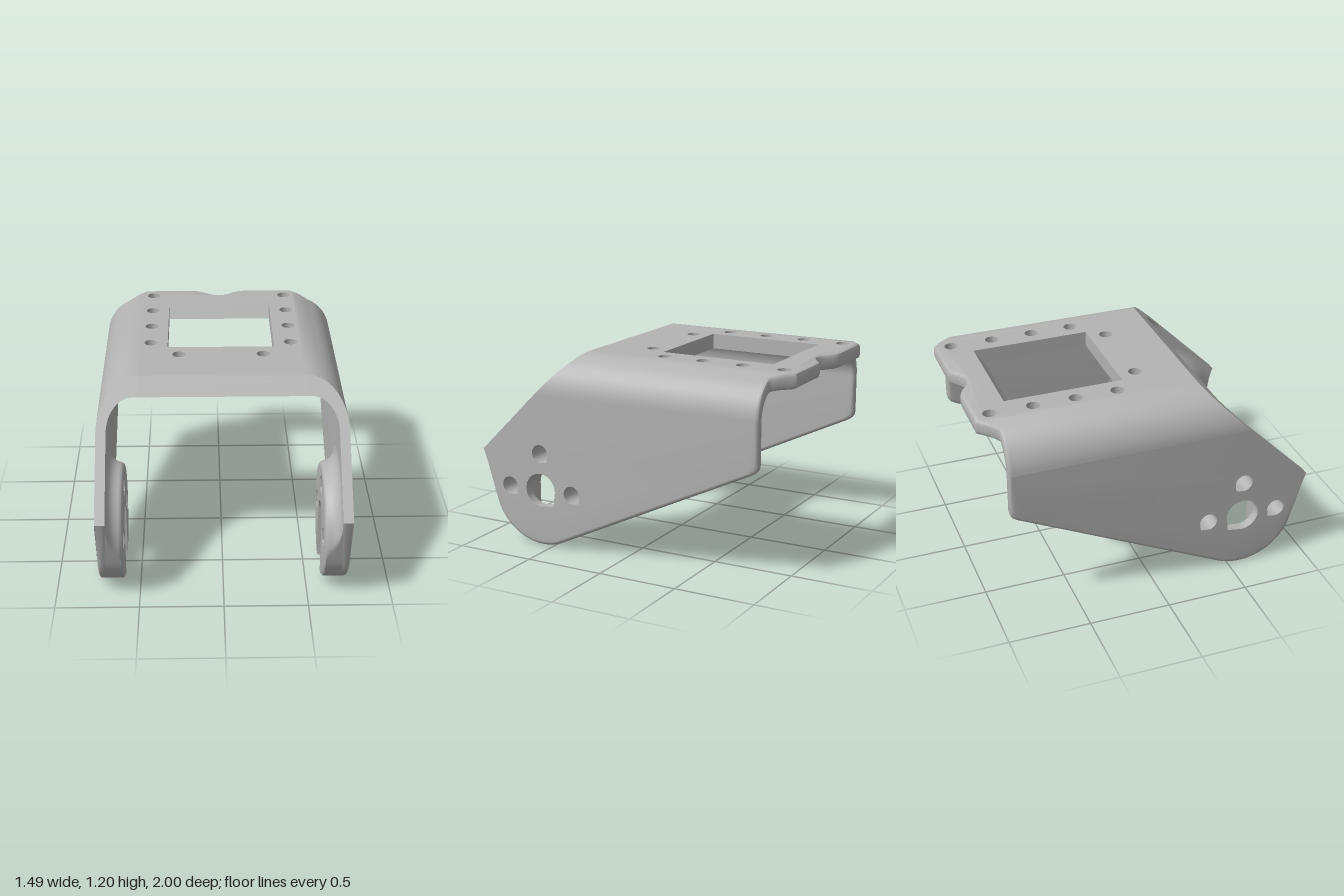
import * as THREE from 'three';
import { toCreasedNormals } from 'three/addons/utils/BufferGeometryUtils.js';

const V = (x, y) => new THREE.Vector2(x, y);
const lerp = THREE.MathUtils.lerp;

// Main dimensions
const TOP = 1.205, UNDER = 1.11, OUT = 0.745, IN = 0.685, BEND_X = 0.5, BEND_Y = 0.955;
const PIVOT = V(0.58, 0.347), R = 0.347;          // pivot centre as (z, y) and rounded end radius
const LOW = THREE.MathUtils.degToRad(25.7);       // slope of the lower edge
const FRONT = THREE.MathUtils.degToRad(-15);      // normal angle of the short front edge
const SLOT = 0.105;

// Rounded rim: depth fraction through the sheet, and inset of the outline there
const RIM = [[0, 0.02], [0.07, 0.007], [0.25, 0], [0.75, 0], [0.93, 0.007], [1, 0.02]];

const frontZ = (y) => 0.355 + (TOP - y) * 1.008;  // slanted front cut

// Rear edge of the sheet: notched lip in the middle, chamfered to the sides
function backZ(x) {
  x = Math.abs(x);
  if (x < 0.17) return -1 + 0.04 * (1 + Math.cos(Math.PI * x / 0.17));
  return Math.min(-0.887, -1 + Math.max(0, x - 0.48));
}

// Closed solid through levels of { h, outline, holes }, placed by map(u, v, h)
function loft(levels, map) {
  const rings = levels.map((l) => [l.outline, ...(l.holes || [])]);
  const reverse = rings[0].map((r, k) => THREE.ShapeUtils.isClockWise(r) === (k === 0));
  rings.forEach((set) => set.forEach((r, k) => { if (reverse[k]) r.reverse(); }));
  const pts = rings.map((set, l) => set.map((r) => r.map((p) => map(p.x, p.y, levels[l].h))));
  const tris = [];
  for (const l of [0, levels.length - 1]) {
    const flat = pts[l].flat();
    for (const [a, b, c] of THREE.ShapeUtils.triangulateShape(rings[l][0], rings[l].slice(1))) {
      tris.push(l ? [flat[a], flat[b], flat[c]] : [flat[a], flat[c], flat[b]]);
    }
  }
  for (let l = 0; l + 1 < levels.length; l++) {
    pts[l].forEach((lower, k) => {
      const upper = pts[l + 1][k];
      lower.forEach((p, i) => {
        const j = (i + 1) % lower.length;
        tris.push([p, lower[j], upper[j]], [p, upper[j], upper[i]]);
      });
    });
  }
  // Turn the faces outwards whatever the mapping's handedness
  const cross = new THREE.Vector3();
  const volume = tris.reduce((s, [a, b, c]) => s + a.dot(cross.crossVectors(b, c)), 0);
  const points = tris.flatMap(([a, b, c]) => (volume < 0 ? [a, c, b] : [a, b, c]));
  return toCreasedNormals(new THREE.BufferGeometry().setFromPoints(points), 0.7);
}

// Round hole; a cornered one has its lower rear quadrant squared off
function hole(cu, cv, r, cornered = false) {
  const pts = [], n = 32;
  for (let i = 0; i < n; i++) {
    const a = (i / n) * Math.PI * 2;
    if (cornered && i > n / 2 && i < n * 0.75) {
      if (i === n * 0.625) pts.push(V(cu - 0.88 * r, cv - 0.88 * r));
    } else pts.push(V(cu + r * Math.cos(a), cv + r * Math.sin(a)));
  }
  return pts;
}

const boltHoles = () => [[0.225, 0], [0, 0.232], [-0.225, 0]]
  .map(([z, y]) => hole(PIVOT.x + z, PIVOT.y + 0.005 + y, 0.056, true));

// Flat top with window, lip and screw holes
function topGeometry() {
  const half = [0.5, 0.48, 0.19, 0.17, 0.15, 0.13, 0.11, 0.09, 0.07, 0.05, 0.025];
  const xs = [...half, 0, ...half.map((x) => -x).reverse()];
  const levels = RIM.map(([s, inset]) => {
    const h = lerp(TOP, UNDER, s);
    const rear = -0.785 + 0.065 * s;
    const holes = [[V(-0.33, rear), V(0.33, rear), V(0.33, -0.055), V(-0.33, -0.055)]];
    for (const side of [-1, 1]) {
      for (const z of [-0.9, -0.64, -0.382, -0.125]) holes.push(hole(side * 0.435, z, 0.041));
      holes.push(hole(side * 0.258, 0.052, 0.041));
    }
    const outline = [V(-BEND_X, frontZ(h)), V(BEND_X, frontZ(h)),
      ...xs.map((x) => V(x, backZ(x) + inset))];
    return { h, outline, holes };
  });
  return loft(levels, (x, z, y) => new THREE.Vector3(x, y, z));
}

// Bend between the top and one side
function bendGeometry(side) {
  const at = (s, t) => V(
    lerp(BEND_X + (OUT - BEND_X) * Math.sin(t), 0.53 + (IN - 0.53) * Math.sin(t), s),
    BEND_Y + lerp(TOP - BEND_Y, UNDER - BEND_Y, s) * Math.cos(t));
  // The inner start slides from the flat's edge to the bend's own start
  const point = (s, t) => {
    const p = at(s, t);
    if (t === 0) p.x = BEND_X;
    return p;
  };
  const levels = [];
  for (let i = 0; i <= 20; i++) {
    const t = (i / 20) * Math.PI / 2;
    const outline = [V(frontZ(point(0, t).y), 0), V(frontZ(point(1, t).y), 1)];
    for (const [s, inset] of [...RIM].reverse()) outline.push(V(backZ(point(s, t).x) + inset, s));
    levels.push({ h: t, outline });
  }
  return loft(levels, (z, s, t) => {
    const p = point(s, t);
    return new THREE.Vector3(side * p.x, p.y, z);
  });
}

// Side plate outline in (z, y), drawn in by an inset along its rounded rim
function sideOutline(inset) {
  const r = R - inset, pts = [V(frontZ(BEND_Y), BEND_Y), V(1, 0.565)];
  const end = -Math.PI / 2 - LOW;
  for (let i = 0; i <= 24; i++) {
    const a = lerp(FRONT, end, i / 24);
    pts.push(V(PIVOT.x + r * Math.cos(a), PIVOT.y + r * Math.sin(a)));
  }
  const last = pts[pts.length - 1], back = -0.887 + inset;
  const lowY = (z) => last.y + (last.x - z) * Math.tan(LOW);
  pts.push(V(back + 0.045, lowY(back + 0.045)), V(back + 0.018, lowY(back + 0.018) + 0.004),
    V(back + 0.005, lowY(back) + 0.014), V(back, lowY(back) + 0.036), V(back, BEND_Y));
  return pts;
}

function sideGeometry(side) {
  const levels = RIM.map(([s, inset]) => ({
    h: lerp(OUT, IN, s),
    outline: sideOutline(inset),
    holes: [hole(PIVOT.x, PIVOT.y + 0.005, SLOT, true), ...boltHoles()],
  }));
  return loft(levels, (z, y, x) => new THREE.Vector3(side * x, y, z));
}

// Pivot boss: flared disc trimmed to the plate's edge, with a slot open downwards
function bossGeometry(side) {
  const limit = (a) => {
    let d = Math.cos(a + Math.PI / 2) > 0.9 ? R : 1;
    for (const n of [FRONT, -Math.PI / 2 - LOW]) {
      const c = Math.cos(a - n);
      if (c > 0.1) d = Math.min(d, R / c);
    }
    // Between the two straight edges the plate end is round
    const down = Math.atan2(Math.sin(a), Math.cos(a));
    return down < FRONT && down > -Math.PI / 2 - LOW ? R : d;
  };
  const profile = [[0.59, 0.328], [0.594, 0.34], [0.602, 0.348], [0.615, 0.353]];
  for (let i = 2; i <= 8; i++) {
    const t = (i / 8) * Math.PI / 2;
    profile.push([0.595 + 0.09 * Math.sin(t), 0.44 - 0.09 * Math.cos(t)]);
  }
  profile.push([0.7, 0.44]);
  const levels = profile.map(([h, r]) => {
    const outline = [], n = 72;
    const bottom = PIVOT.y - Math.sqrt(Math.min(r, R) ** 2 - SLOT ** 2);
    outline.push(V(PIVOT.x + SLOT, bottom));
    for (let i = 0; i <= n; i++) {
      const a = THREE.MathUtils.degToRad(lerp(-70, 250, i / n));
      const d = Math.min(r, limit(a));
      outline.push(V(PIVOT.x + d * Math.cos(a), PIVOT.y + d * Math.sin(a)));
    }
    outline.push(V(PIVOT.x - SLOT, bottom));
    for (let i = 0; i <= 16; i++) {
      const a = Math.PI * (1 - i / 16);
      outline.push(V(PIVOT.x + SLOT * Math.cos(a), PIVOT.y + 0.005 + SLOT * Math.sin(a)));
    }
    return { h, outline, holes: boltHoles() };
  });
  return loft(levels, (z, y, x) => new THREE.Vector3(side * x, y, z));
}

export function createModel() {
  const group = new THREE.Group();
  group.name = 'pivotBracket';
  const metal = new THREE.MeshStandardMaterial({ color: 0xb4b4b4 });
  metal.name = 'grey metal';
  const add = (name, geometry) => {
    const mesh = new THREE.Mesh(geometry, metal);
    mesh.name = name;
    group.add(mesh);
  };
  add('topPlate', topGeometry());
  for (const [label, side] of [['left', 1], ['right', -1]]) {
    add(label + 'Bend', bendGeometry(side));
    add(label + 'SidePlate', sideGeometry(side));
    add(label + 'PivotBoss', bossGeometry(side));
  }
  return group;
}
